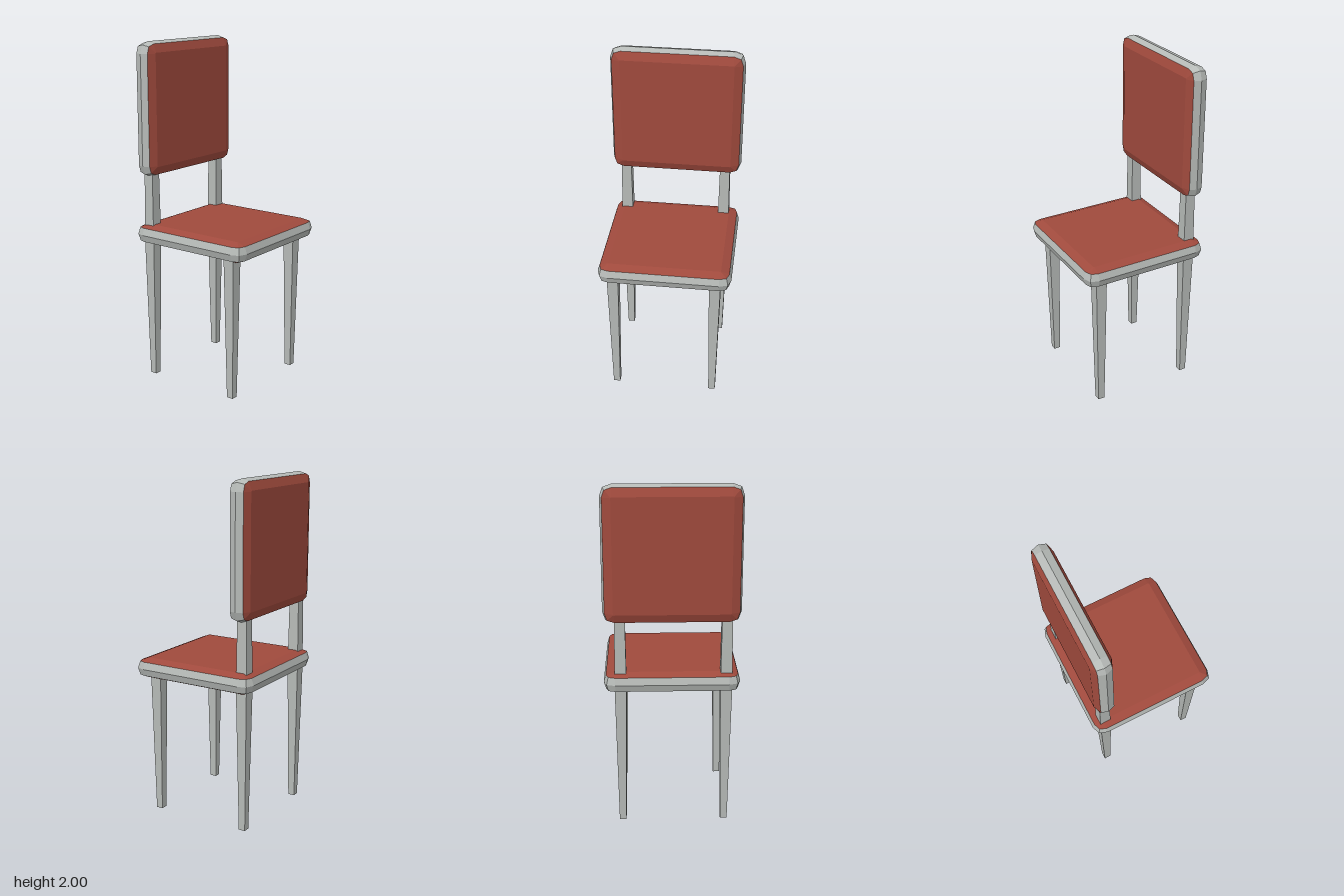
import * as THREE from 'three';

// Outline of a square with softly clipped corners, half width h
function ring(h, y) {
  const k = 0.32, c = h - 0.26 * (h - k);
  const corner = [[h, k], [c, c], [k, h]];
  const pts = [];
  for (let q = 0; q < 4; q++) {
    for (const [a, b] of corner) {
      const [x, z] = [[a, b], [-b, a], [-a, -b], [b, -a]][q];
      pts.push([x, y, z]);
    }
  }
  return pts;
}

// Faceted skin through a stack of rings, optionally closed at bottom or top
function skin(rings, cap) {
  const pos = [];
  const tri = (...p) => p.forEach((v) => pos.push(...v));
  const n = rings[0].length;
  for (let r = 0; r + 1 < rings.length; r++) {
    const lo = rings[r], hi = rings[r + 1];
    for (let i = 0; i < n; i++) {
      const j = (i + 1) % n;
      tri(lo[i], hi[i], hi[j]);
      tri(lo[i], hi[j], lo[j]);
    }
  }
  const top = rings[rings.length - 1], bottom = rings[0];
  for (let i = 1; i + 1 < n; i++) {
    if (cap === 'top') tri(top[0], top[i + 1], top[i]);
    if (cap === 'bottom') tri(bottom[0], bottom[i], bottom[i + 1]);
  }
  const g = new THREE.BufferGeometry();
  g.setAttribute('position', new THREE.Float32BufferAttribute(pos, 3));
  g.computeVertexNormals();
  return g;
}

// Square bar tapering from half width a at y0 to half width b at y1
function taperedBar(a, b, y0, y1) {
  const g = new THREE.BoxGeometry(1, y1 - y0, 1).toNonIndexed();
  const p = g.attributes.position;
  for (let i = 0; i < p.count; i++) {
    const s = 2 * (p.getY(i) < 0 ? a : b);
    p.setX(i, p.getX(i) * s);
    p.setZ(i, p.getZ(i) * s);
  }
  g.translate(0, (y0 + y1) / 2, 0);
  g.computeVertexNormals();
  return g;
}

export function createModel() {
  const frame = new THREE.MeshStandardMaterial({ color: 0xb6bab7 });
  frame.name = 'pale grey frame';
  const fabric = new THREE.MeshStandardMaterial({ color: 0xa04a3d });
  fabric.name = 'brick red fabric';

  const model = new THREE.Group();
  model.name = 'chair';
  const add = (parent, name, geometry, material) => {
    const m = new THREE.Mesh(geometry, material);
    m.name = name;
    parent.add(m);
    return m;
  };

  // Padded panel: grey rim with a red face on each side
  const inner = 0.325, edge = 0.373, outer = 0.386, t = 0.06, band = 0.041;
  function cushion(name) {
    const g = new THREE.Group();
    g.name = name;
    add(g, name + 'Rim', skin([ring(edge, -band), ring(outer, 0), ring(edge, band)]), frame);
    add(g, name + 'UpperFace', skin([ring(edge, band), ring(inner, t)], 'top'), fabric);
    add(g, name + 'LowerFace', skin([ring(inner, -t), ring(edge, -band)], 'bottom'), fabric);
    model.add(g);
    return g;
  }
  cushion('seat').position.y = 0.884;
  const back = cushion('backrest');
  back.rotation.z = Math.PI / 2;
  back.position.set(-0.306, 1.616, 0);

  // Legs, with posts carrying the backrest above the rear pair
  const legGeo = taperedBar(0.02, 0.034, 0, 0.86);
  const postGeo = taperedBar(0.033, 0.029, 0.9, 1.3);
  for (const [side, z] of [['One', 0.306], ['Two', -0.291]]) {
    add(model, 'frontLeg' + side, legGeo, frame).position.set(0.274, 0, z);
    add(model, 'rearLeg' + side, legGeo, frame).position.set(-0.309, 0, z);
    add(model, 'backPost' + side, postGeo, frame).position.set(-0.309, 0, z);
  }
  return model;
}
